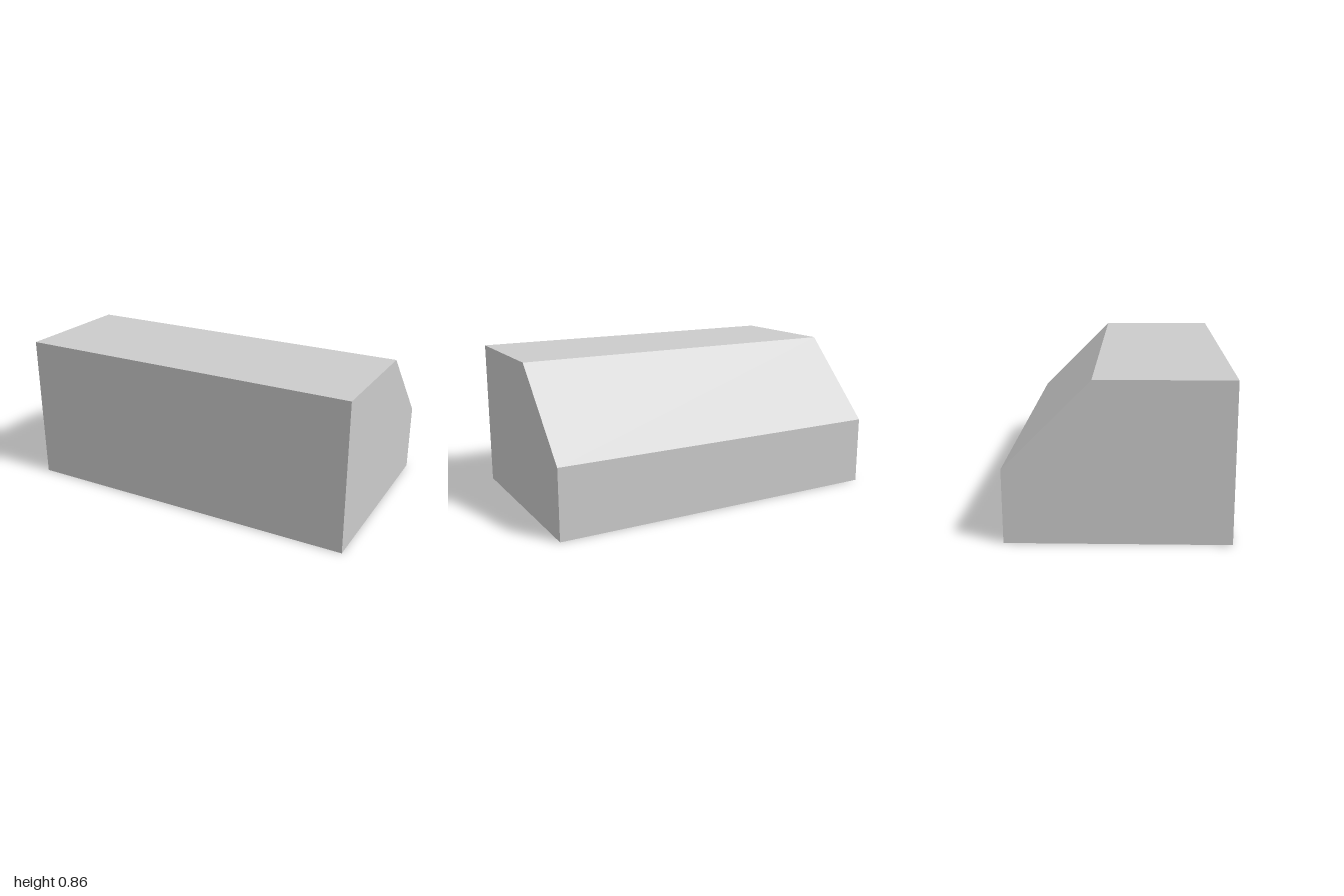
import * as THREE from 'three';

export function createModel() {
  const group = new THREE.Group();
  group.name = 'chamferedBlock';

  // Side profile (first value runs towards the back), with the sloped upper back edge
  const profile = new THREE.Shape([
    [-0.588, 0], [0.588, 0], [0.588, 0.398], [0.127, 0.859], [-0.588, 0.859],
  ].map(([back, y]) => new THREE.Vector2(back, y)));

  // Extrude across the full width, then turn so the width lies along x
  const geometry = new THREE.ExtrudeGeometry(profile, { depth: 2, bevelEnabled: false });
  geometry.translate(0, 0, -1);
  geometry.rotateY(Math.PI / 2);

  const body = new THREE.Mesh(
    geometry,
    new THREE.MeshStandardMaterial({ color: 0xcccccc, flatShading: true }),
  );
  body.name = 'body';
  group.add(body);
  return group;
}
